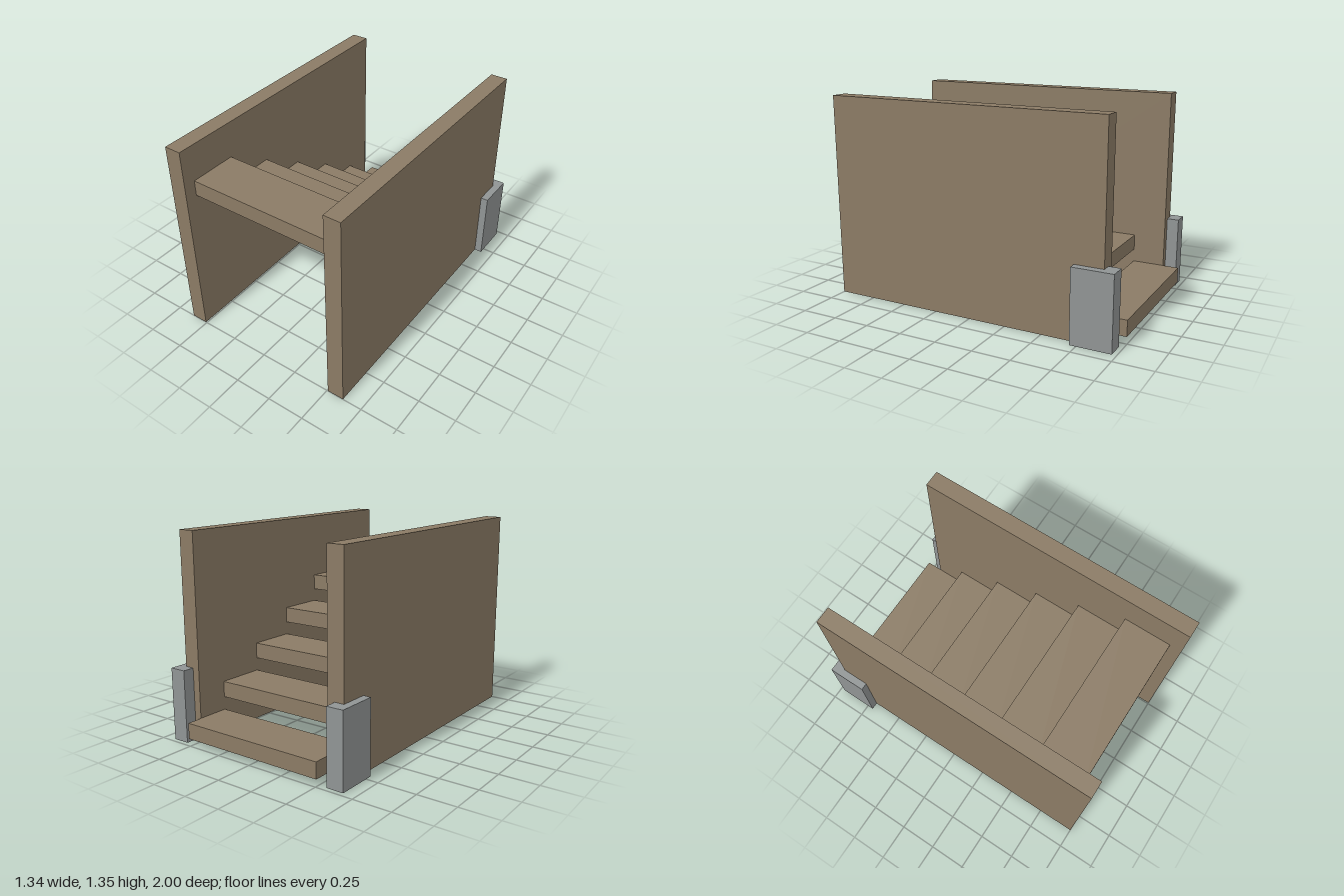
import * as THREE from 'three';

export function createModel() {
  const group = new THREE.Group();
  const wood = new THREE.MeshStandardMaterial({ color: 0x8b7b65 });
  wood.name = 'brown wood';
  const stone = new THREE.MeshStandardMaterial({ color: 0x909494 });
  stone.name = 'grey post';

  // Box given by its lower and upper corners
  function box(name, material, [x0, y0, z0], [x1, y1, z1]) {
    const mesh = new THREE.Mesh(new THREE.BoxGeometry(x1 - x0, y1 - y0, z1 - z0), material);
    mesh.position.set((x0 + x1) / 2, (y0 + y1) / 2, (z0 + z1) / 2);
    mesh.name = name;
    group.add(mesh);
    return mesh;
  }

  // Side walls and the posts at their back ends
  for (const [side, s] of [['left', 1], ['right', -1]]) {
    // wall sits a hair above the floor so the post's underside stays clean
    const wall = box(side + 'Wall', wood, [0.507, 0.001, -0.893], [0.619, 1.345, 1]);
    const post = box(side + 'Post', stone, [0.557, 0, -0.971], [0.669, 0.477, -0.707]);
    wall.position.x *= s;
    post.position.x *= s;
  }

  // Open treads climbing from back to front
  const rise = 0.1908, run = 0.32;
  for (let i = 0; i < 6; i++) {
    const y = 0.048 + i * rise, z = -1 + i * run;
    box('tread' + (i + 1), wood, [-0.507, y, z], [0.507, y + 0.104, z + run]);
  }
  return group;
}
